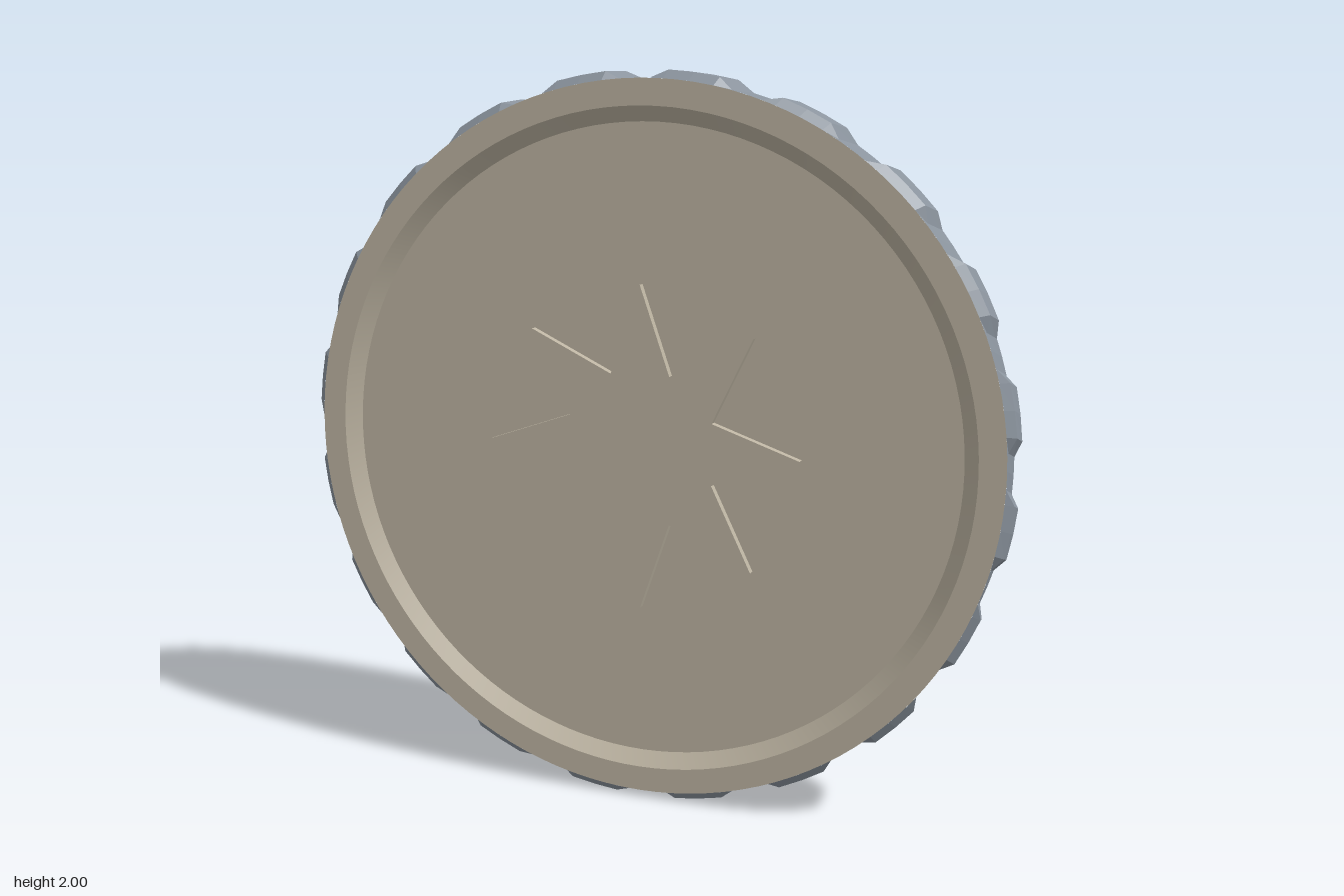
import * as THREE from 'three';
import { toCreasedNormals } from 'three/addons/utils/BufferGeometryUtils.js';

const FACE_R = 0.98, HALF = 0.0625, FLOOR = 0.033, EMBLEM = 0.022;

// Dished coin face, looking along +z
function faceGeometry() {
  const profile = [[FACE_R, HALF], [0.91, HALF], [0.87, FLOOR], [0, FLOOR]]
    .map(([r, y]) => new THREE.Vector2(r, y));
  const geo = new THREE.LatheGeometry(profile, 120);
  geo.rotateX(Math.PI / 2);
  return toCreasedNormals(geo, 0.4);
}

// Raised flat emblem standing on the dished floor
function emblemGeometry(points) {
  const shape = new THREE.Shape(points.map(([x, y]) => new THREE.Vector2(x, y)));
  const geo = new THREE.ExtrudeGeometry(shape, { depth: EMBLEM, bevelEnabled: false });
  return geo.translate(0, 0, FLOOR);
}

// Edge band: twenty slightly twisted ridges with bevelled ends
function rimGeometry() {
  const ridges = 20, top = 1.003, twist = 0.018;
  const pitch = 360 / ridges;
  // degrees from ridge centre, raised or not
  const steps = [[-9, 0], [-6.2, 0], [-4, 1], [0, 1], [4, 1], [6.2, 0]];
  const rows = [[-HALF, 0], [-0.042, 1], [0.042, 1], [HALF, 0]];
  const positions = [], index = [];
  for (let k = 0; k < ridges; k++) {
    for (const [deg, up] of steps) {
      const angle = THREE.MathUtils.degToRad(pitch * (k + 0.5) + deg);
      for (const [z, raised] of rows) {
        const r = up && raised ? top : FACE_R;
        const t = angle + twist * z / HALF;
        positions.push(r * Math.cos(t), r * Math.sin(t), z);
      }
    }
  }
  const columns = ridges * steps.length, n = rows.length;
  for (let i = 0; i < columns; i++) {
    const next = (i + 1) % columns;
    for (let j = 0; j < n - 1; j++) {
      const a = i * n + j, b = next * n + j;
      index.push(a, b, b + 1, a, b + 1, a + 1);
    }
  }
  const geo = new THREE.BufferGeometry();
  geo.setAttribute('position', new THREE.Float32BufferAttribute(positions, 3));
  geo.setIndex(index);
  const flat = geo.toNonIndexed();
  flat.computeVertexNormals();
  return flat;
}

export function createModel() {
  const stone = new THREE.MeshStandardMaterial({ color: 0xbdb4a2 });
  stone.name = 'warm beige';
  const steel = new THREE.MeshStandardMaterial({ color: 0x8b949e });
  steel.name = 'steel grey';

  const coin = new THREE.Group();
  coin.name = 'coin';
  const add = (parent, name, geo, mat) => {
    const mesh = new THREE.Mesh(geo, mat);
    mesh.name = name;
    parent.add(mesh);
  };

  add(coin, 'ridgedRim', rimGeometry(), steel);

  // Front: eight-pointed star
  const star = [];
  for (let i = 0; i < 16; i++) {
    const r = i % 2 ? 0.22 : 0.446, a = i * Math.PI / 8;
    star.push([r * Math.cos(a), r * Math.sin(a)]);
  }
  const front = new THREE.Group();
  front.name = 'frontSide';
  add(front, 'frontFace', faceGeometry(), stone);
  add(front, 'starEmblem', emblemGeometry(star), stone);

  // Back: crowned head in profile
  const head = [
    [-0.33, 0.61], [-0.14, 0.51], [-0.02, 0.68], [0.08, 0.51], [0.27, 0.62], // crown
    [0.23, 0.39], [0.18, 0.38], [0.22, 0.26], [0.38, 0.12], [0.23, 0.05],    // brow and nose
    [0.28, -0.08], [0.115, -0.125], [0.125, -0.27],                          // chin and throat
    [0.325, -0.35], [0.435, -0.48], [-0.445, -0.48], [-0.25, -0.335],        // shoulders
    [-0.205, -0.22], [-0.32, -0.01], [-0.375, 0.175], [-0.325, 0.36],        // back of head
  ];
  const back = new THREE.Group();
  back.name = 'backSide';
  back.rotation.y = Math.PI;
  add(back, 'backFace', faceGeometry(), stone);
  add(back, 'headEmblem', emblemGeometry(head), stone);

  coin.add(front, back);
  coin.position.y = 1;
  const model = new THREE.Group();
  model.name = 'coinModel';
  model.add(coin);
  return model;
}
